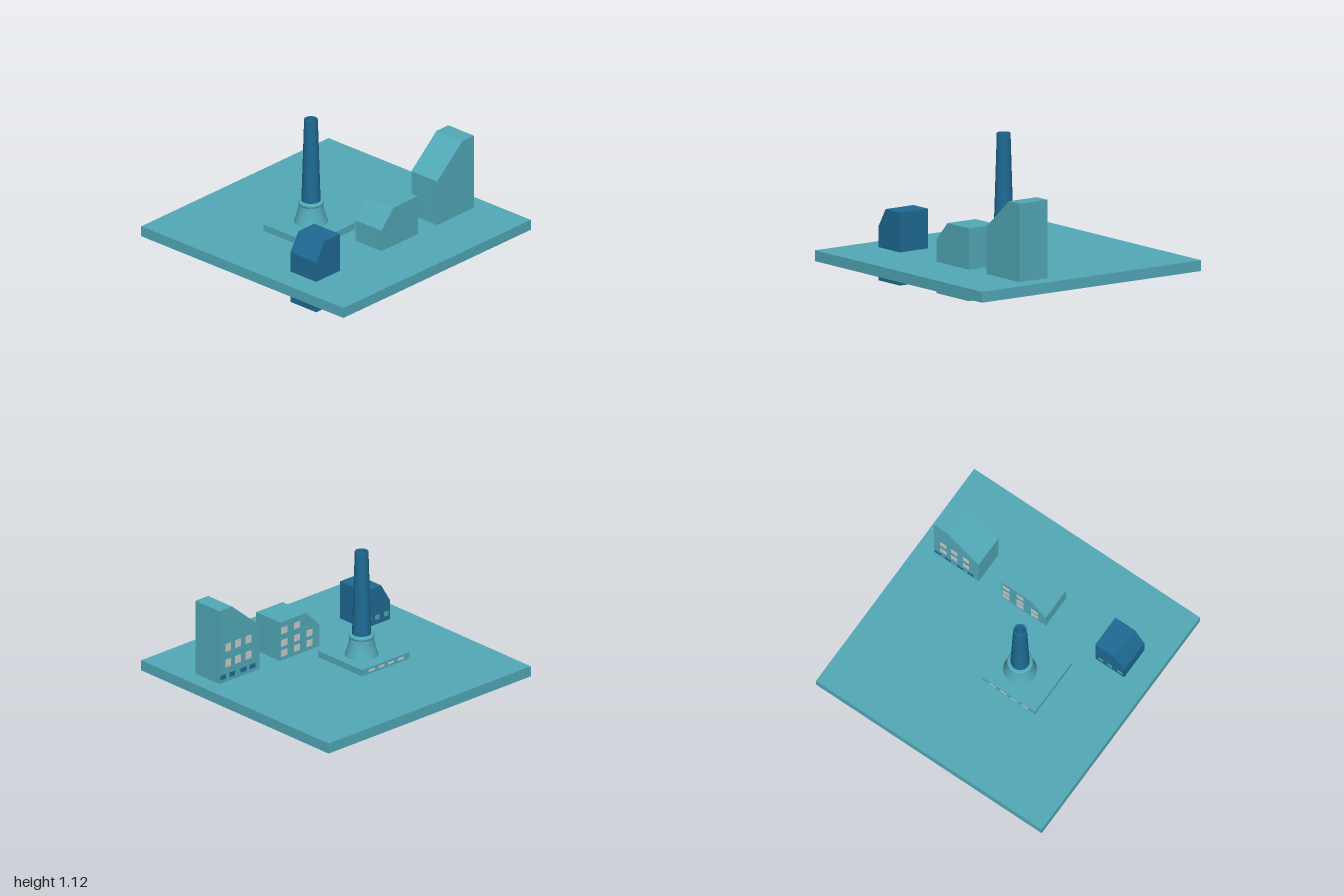
import * as THREE from 'three';

const teal = new THREE.MeshStandardMaterial({ color: 0x52a9b8 });
const navy = new THREE.MeshStandardMaterial({ color: 0x1f6a94 });
const grey = new THREE.MeshStandardMaterial({ color: 0xcccccc });

const BACK = 0.305, FRONT = 0.56; // z range shared by the three houses

function add(parent, name, geometry, material, x = 0, y = 0, z = 0) {
  const mesh = new THREE.Mesh(geometry, material);
  mesh.name = name;
  mesh.position.set(x, y, z);
  parent.add(mesh);
  return mesh;
}

// Box given by its x, y and z ranges
function block(parent, name, [x0, x1], [y0, y1], [z0, z1], material) {
  return add(parent, name, new THREE.BoxGeometry(x1 - x0, y1 - y0, z1 - z0), material,
    (x0 + x1) / 2, (y0 + y1) / 2, (z0 + z1) / 2);
}

// Thin panels set on a back-facing wall, one for every column and row
function panels(parent, name, xs, ys, w, h, z, material) {
  for (const x of xs) for (const y of ys)
    add(parent, name, new THREE.BoxGeometry(w, h, 0.006), material, x, y, z);
}

// House with one sloped roof edge: wall rises to the eave, slopes to the ridge
function house(parent, name, x0, x1, y0, eave, ridgeX, top, material) {
  const group = new THREE.Group();
  group.name = name;
  parent.add(group);
  const shape = new THREE.Shape([[x0, y0], [x1, y0], [x1, top], [ridgeX, top], [x0, eave]]
    .map(([x, y]) => new THREE.Vector2(x, y)));
  const geometry = new THREE.ExtrudeGeometry(shape, { depth: FRONT - BACK, bevelEnabled: false });
  add(group, name + 'Walls', geometry, material, 0, 0, BACK);
  return group;
}

// Turned part from [radius, height] pairs listed from the bottom up
function turned(parent, name, points, material) {
  const profile = points.map(([r, y]) => new THREE.Vector2(r, y));
  return add(parent, name, new THREE.LatheGeometry(profile, 40), material);
}

export function createModel() {
  const model = new THREE.Group();
  model.name = 'factoryDiorama';

  // Ground slab
  block(model, 'groundSlab', [-1, 1], [0.165, 0.245], [-1, 1], teal);

  // Plinth with a row of small vents along the back edge
  block(model, 'plinth', [-0.45, 0.02], [0.24, 0.295], [-0.3, 0.17], teal);
  panels(model, 'plinthVent', [-0.36, -0.265, -0.17, -0.075], [0.27], 0.06, 0.016, -0.3, grey);

  // Chimney: flared foot, collar, tapering stack and hollow mouth
  const chimney = new THREE.Group();
  chimney.name = 'chimney';
  chimney.position.set(-0.17, 0, -0.09);
  model.add(chimney);
  turned(chimney, 'chimneyFoot',
    [[0.125, 0.29], [0.113, 0.325], [0.102, 0.365], [0.093, 0.4], [0.087, 0.44]], teal);
  const collar = [];
  for (let i = 0; i <= 8; i++) {
    const a = -Math.PI / 2 + Math.PI * i / 8;
    collar.push([0.08 + 0.016 * Math.cos(a), 0.448 + 0.016 * Math.sin(a)]);
  }
  turned(chimney, 'chimneyCollar', [...collar, [0.06, 0.464]], teal);
  turned(chimney, 'chimneyStack', [[0.07, 0.46], [0.05, 1.115]], navy);
  turned(chimney, 'chimneyRim', [[0.05, 1.115], [0.036, 1.115]], navy);
  turned(chimney, 'chimneyFlue', [[0.036, 1.115], [0.034, 0.95]], navy);
  turned(chimney, 'chimneyFlueFloor', [[0.034, 0.95], [0, 0.95]], navy);

  // Small dark house with three little windows
  const small = house(model, 'smallHouse', -0.815, -0.56, 0, 0.4, -0.73, 0.54, navy);
  panels(small, 'smallHouseWindow', [-0.61, -0.69, -0.78], [0.3], 0.04, 0.035, BACK, teal);

  // Middle house with windows above and dark doors below the slab
  const middle = house(model, 'middleHouse', -0.12, 0.27, 0.012, 0.41, 0.01, 0.55, teal);
  panels(middle, 'middleHouseWindow', [-0.02, 0.105, 0.23], [0.3, 0.38], 0.06, 0.05, BACK, grey);
  panels(middle, 'middleHouseWindow', [0.105, 0.23], [0.48], 0.06, 0.05, BACK, grey);
  panels(middle, 'middleHouseDoor', [-0.07, 0.01, 0.09, 0.17], [0.1], 0.055, 0.15, BACK, navy);

  // Tall house with two window rows and a row of dark basement lights
  const tall = house(model, 'tallHouse', 0.475, 0.87, 0.2, 0.595, 0.745, 0.825, teal);
  panels(tall, 'tallHouseWindow', [0.585, 0.69, 0.785], [0.39, 0.515], 0.055, 0.06, BACK, grey);
  panels(tall, 'basementLight', [0.545, 0.635, 0.745, 0.835], [0.29], 0.055, 0.035, BACK, navy);

  return model;
}
